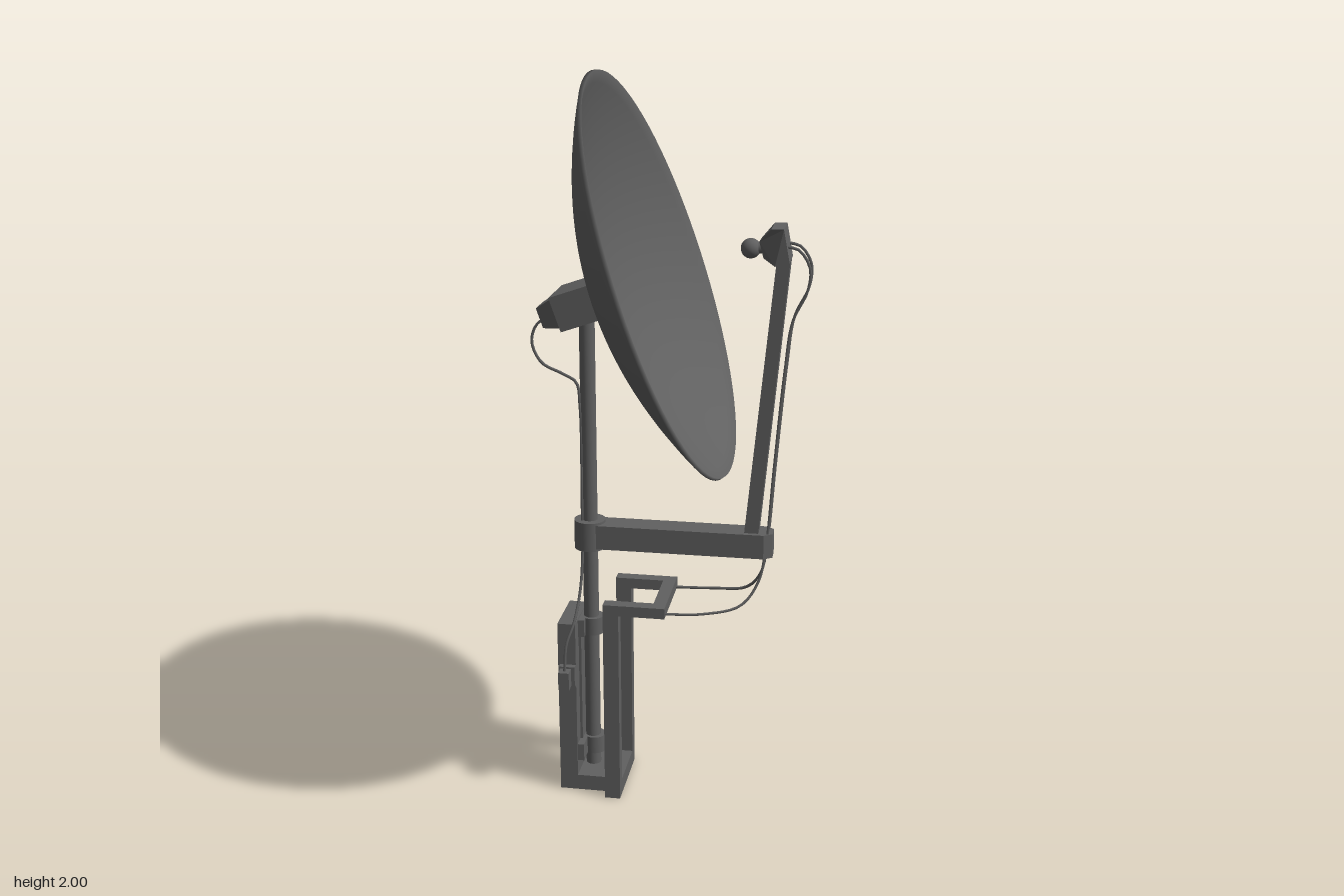
import * as THREE from 'three';

const mat = new THREE.MeshStandardMaterial({ color: 0x606060, side: THREE.DoubleSide });

function add(parent, name, geo, x = 0, y = 0, z = 0) {
  const m = new THREE.Mesh(geo, mat);
  m.name = name;
  m.position.set(x, y, z);
  parent.add(m);
  return m;
}

// Box given by its min and max on each axis
function box(parent, name, x0, x1, y0, y1, z0, z1) {
  return add(parent, name, new THREE.BoxGeometry(x1 - x0, y1 - y0, z1 - z0),
    (x0 + x1) / 2, (y0 + y1) / 2, (z0 + z1) / 2);
}

function cylinder(parent, name, r, y0, y1, x) {
  return add(parent, name, new THREE.CylinderGeometry(r, r, y1 - y0, 24), x, (y0 + y1) / 2, 0);
}

function cable(parent, name, points) {
  const curve = new THREE.CatmullRomCurve3(points.map(p => new THREE.Vector3(...p)));
  return add(parent, name, new THREE.TubeGeometry(curve, 70, 0.004, 6));
}

// Side outline in x and y, extruded evenly about z = 0
function slab(points, width) {
  const shape = new THREE.Shape(points.map(p => new THREE.Vector2(...p)));
  const geo = new THREE.ExtrudeGeometry(shape, { depth: width, bevelEnabled: false });
  return geo.translate(0, 0, -width / 2);
}

// Narrows the vertices left of x = limit
function taper(geo, limit, sy, sz) {
  const p = geo.attributes.position;
  for (let i = 0; i < p.count; i++) {
    if (p.getX(i) < limit) p.setXYZ(i, p.getX(i), p.getY(i) * sy, p.getZ(i) * sz);
  }
  geo.computeVertexNormals();
  return geo;
}

export function createModel() {
  const model = new THREE.Group();
  const postX = -0.22;

  // Dish and its rear mount share the tilted axis, local +x is the dish axis
  const dishGroup = new THREE.Group();
  dishGroup.name = 'dishAssembly';
  dishGroup.position.set(-0.01, 1.4825, 0);
  dishGroup.rotation.z = 0.335;
  model.add(dishGroup);

  // Thin curved shell: outside from the centre to the rim, then back inside
  const R = 0.548, depth = 0.168, thickness = 0.01, steps = 20;
  const outside = [], inside = [];
  for (let i = 0; i <= steps; i++) {
    const t = i / steps, y = depth * (t * t - 1);
    outside.push(new THREE.Vector2(R * t, y - thickness));
    inside.unshift(new THREE.Vector2((R - 0.003) * t, y));
  }
  const dishGeo = new THREE.LatheGeometry([...outside, ...inside], 72);
  add(dishGroup, 'dish', dishGeo).rotation.z = -Math.PI / 2;

  // Rear mount block with a tapered housing
  box(dishGroup, 'mountBlock', -0.295, -0.172, -0.049, 0.046, -0.078, 0.078);
  add(dishGroup, 'mountHousing', taper(new THREE.BoxGeometry(0.055, 0.085, 0.1), 0, 0.65, 0.7),
    -0.322, -0.004, 0);

  // Post with its collar and clamps
  cylinder(model, 'post', 0.021, 0.05, 1.42, postX);
  cylinder(model, 'armCollar', 0.043, 0.715, 0.797, postX);
  for (const [y, w] of [[0.09, 0.075], [0.46, 0.045]]) {
    cylinder(model, 'postClamp', 0.031, y, y + 0.05, -0.216);
    box(model, 'clampPlate', -0.255, -0.232, y, y + 0.05, -w, w);
  }

  // Horizontal arm with chamfered far end
  const armGeo = slab([[postX, -0.036], [0.262, -0.036], [0.285, -0.02],
    [0.285, 0.02], [0.262, 0.036], [postX, 0.036]], 0.068);
  add(model, 'arm', armGeo.rotateX(-Math.PI / 2), 0, 0.756, 0);

  // Leaning feed boom
  add(model, 'feedBoom', slab([[0.207, 0.78], [0.245, 0.78], [0.315, 1.535], [0.281, 1.545]], 0.046));

  // Feed head, narrowed towards the dish, with its ball-shaped horn
  const headGeo = slab([[0.235, 1.582], [0.246, 1.54], [0.278, 1.524],
    [0.315, 1.534], [0.299, 1.619], [0.267, 1.619]], 0.1);
  add(model, 'feedHead', taper(headGeo, 0.26, 1, 0.5));
  add(model, 'feedBall', new THREE.SphereGeometry(0.026, 20, 14), 0.211, 1.56, 0);
  add(model, 'feedNeck', new THREE.CylinderGeometry(0.015, 0.015, 0.04, 14), 0.236, 1.562, 0)
    .rotation.z = Math.PI / 2;

  // Mirrored legs, top rails and feed cables
  for (const s of [-1, 1]) {
    const side = (name, x0, x1, y0, y1) =>
      box(model, name, x0, x1, y0, y1, s > 0 ? 0.08 : -0.114, s > 0 ? 0.114 : -0.08);
    side('frameLeg', -0.165, -0.122, 0, 0.592);
    side('topRail', -0.122, 0.005, 0.562, 0.592);
    cable(model, 'feedCable', [[0.3, 1.572, s * 0.028], [0.335, 1.565, s * 0.028],
      [0.365, 1.52, s * 0.027], [0.361, 1.46, s * 0.026], [0.325, 1.38, s * 0.028],
      [0.308, 1.25, s * 0.029], [0.285, 0.98, s * 0.024], [0.268, 0.76, s * 0.022],
      [0.25, 0.655, s * 0.035], [0.205, 0.595, s * 0.065], [0.11, 0.575, s * 0.09],
      [-0.02, 0.568, s * 0.095]]);
  }
  box(model, 'topCrossBar', -0.03, 0.005, 0.562, 0.592, -0.08, 0.08);

  // Base plate and the electronics case behind the post
  box(model, 'frameSill', -0.165, -0.122, 0, 0.045, -0.08, 0.08);
  box(model, 'basePlate', -0.25, -0.165, 0, 0.045, -0.08, 0.08);
  box(model, 'case', -0.3, -0.25, 0, 0.512, -0.08, 0.08);
  box(model, 'caseRail', -0.25, -0.243, 0.09, 0.5, -0.038, 0.038);

  // Connector on the side of the case and the cable down from the mount
  box(model, 'connectorBase', -0.295, -0.25, 0.33, 0.39, 0.08, 0.097);
  box(model, 'connector', -0.29, -0.26, 0.333, 0.385, 0.097, 0.127);
  cable(model, 'mountCable', [[-0.33, 1.36, 0], [-0.358, 1.335, 0], [-0.37, 1.29, 0],
    [-0.345, 1.235, 0], [-0.285, 1.205, 0], [-0.25, 1.185, 0.005], [-0.24, 1.12, 0.01],
    [-0.238, 0.85, 0.015], [-0.238, 0.7, 0.02], [-0.242, 0.6, 0.04], [-0.252, 0.52, 0.08],
    [-0.27, 0.46, 0.105], [-0.275, 0.38, 0.112]]);

  return model;
}
